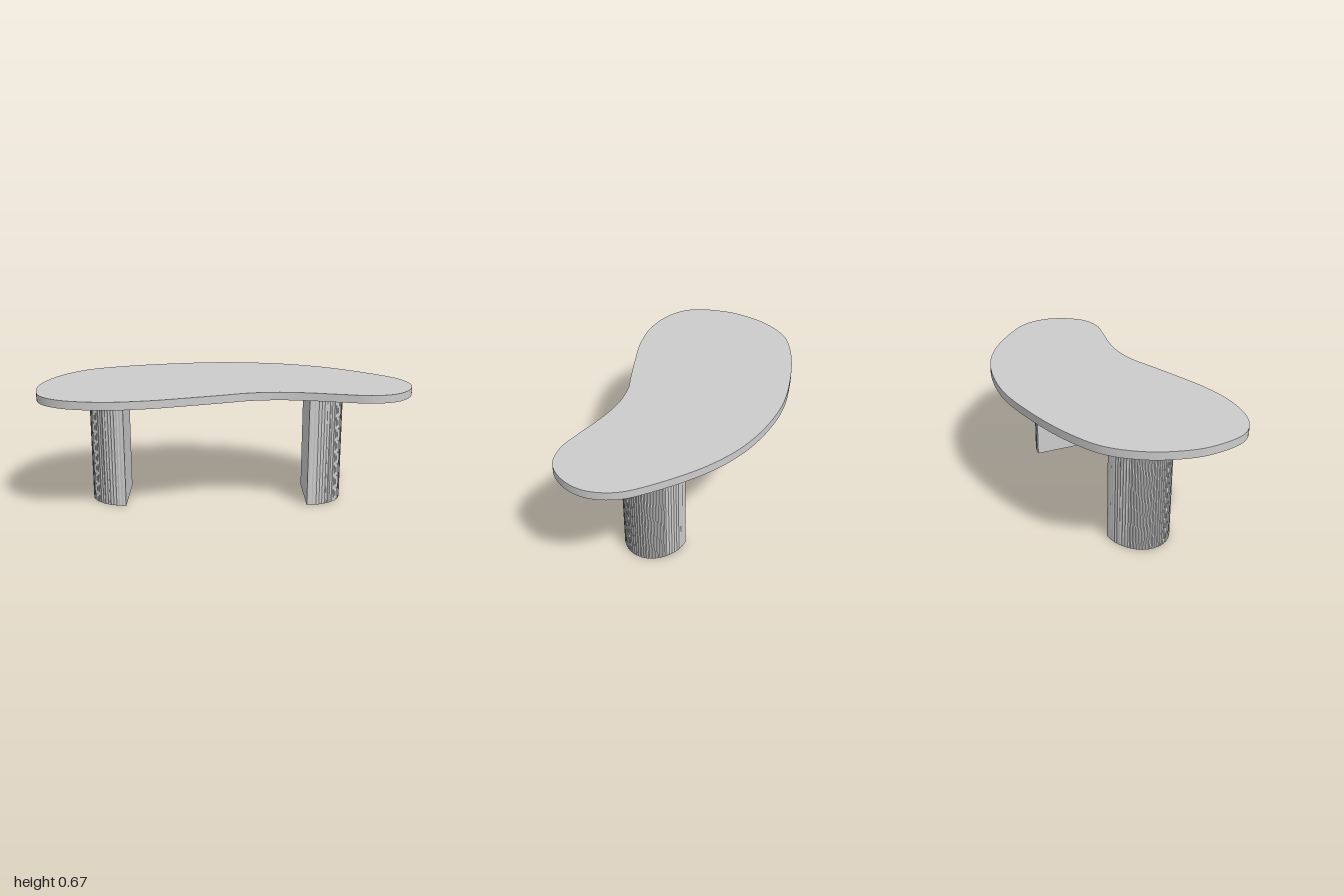
import * as THREE from 'three';
import { toCreasedNormals } from 'three/addons/utils/BufferGeometryUtils.js';

const TOP_Y = 0.67, UNDER_Y = 0.628;

// Extrudes a plan outline (x, z) downwards from topY to bottomY
function slab(outline, topY, bottomY, crease) {
  const geo = new THREE.ExtrudeGeometry(new THREE.Shape(outline), {
    depth: topY - bottomY, bevelEnabled: false,
  });
  geo.rotateX(Math.PI / 2).translate(0, topY, 0);
  return toCreasedNormals(geo, crease);
}

// Freeform kidney outline of the tabletop
function topOutline() {
  const pts = [
    [-1, 0.15], [-0.95, 0.36], [-0.83, 0.46], [-0.62, 0.503], [-0.4, 0.478],
    [-0.2, 0.42], [0, 0.354], [0.11, 0.316], [0.26, 0.297], [0.42, 0.312],
    [0.6, 0.352], [0.75, 0.376], [0.88, 0.342], [0.97, 0.235], [1, 0.11],
    [0.96, -0.03], [0.85, -0.155], [0.6, -0.35], [0.35, -0.46], [0, -0.51],
    [-0.3, -0.475], [-0.6, -0.395], [-0.8, -0.295], [-0.92, -0.15], [-0.98, 0],
  ].map(([x, z]) => new THREE.Vector3(x, z, 0));
  return new THREE.CatmullRomCurve3(pts, true).getPoints(160).slice(0, -1)
    .map((p) => new THREE.Vector2(p.x, p.y));
}

// Half-oval leg plan: flat side inwards, finely reeded curve outwards
function legOutline(flatX, side) {
  const reeds = 36, steps = reeds * 2, pts = [];
  for (let i = 0; i <= steps; i++) {
    const t = -Math.PI / 2 + (Math.PI * i) / steps;
    const r = i % 2 && i > 1 && i < steps - 1 ? 0.985 : 1;
    pts.push(new THREE.Vector2(
      flatX + side * 0.2 * r * Math.cos(t), 0.0125 + 0.1675 * r * Math.sin(t)));
  }
  return pts;
}

export function createModel() {
  const group = new THREE.Group();
  group.name = 'table';
  const grey = new THREE.MeshStandardMaterial({ color: 0xcccccc });
  grey.name = 'light grey';

  const add = (name, geo) => {
    const mesh = new THREE.Mesh(geo, grey);
    mesh.name = name;
    group.add(mesh);
  };

  add('tabletop', slab(topOutline(), TOP_Y, UNDER_Y, 0.6));
  add('leftLeg', slab(legOutline(0.45, 1), UNDER_Y, 0, 0.1));
  add('rightLeg', slab(legOutline(-0.55, -1), UNDER_Y, 0, 0.1));
  return group;
}
